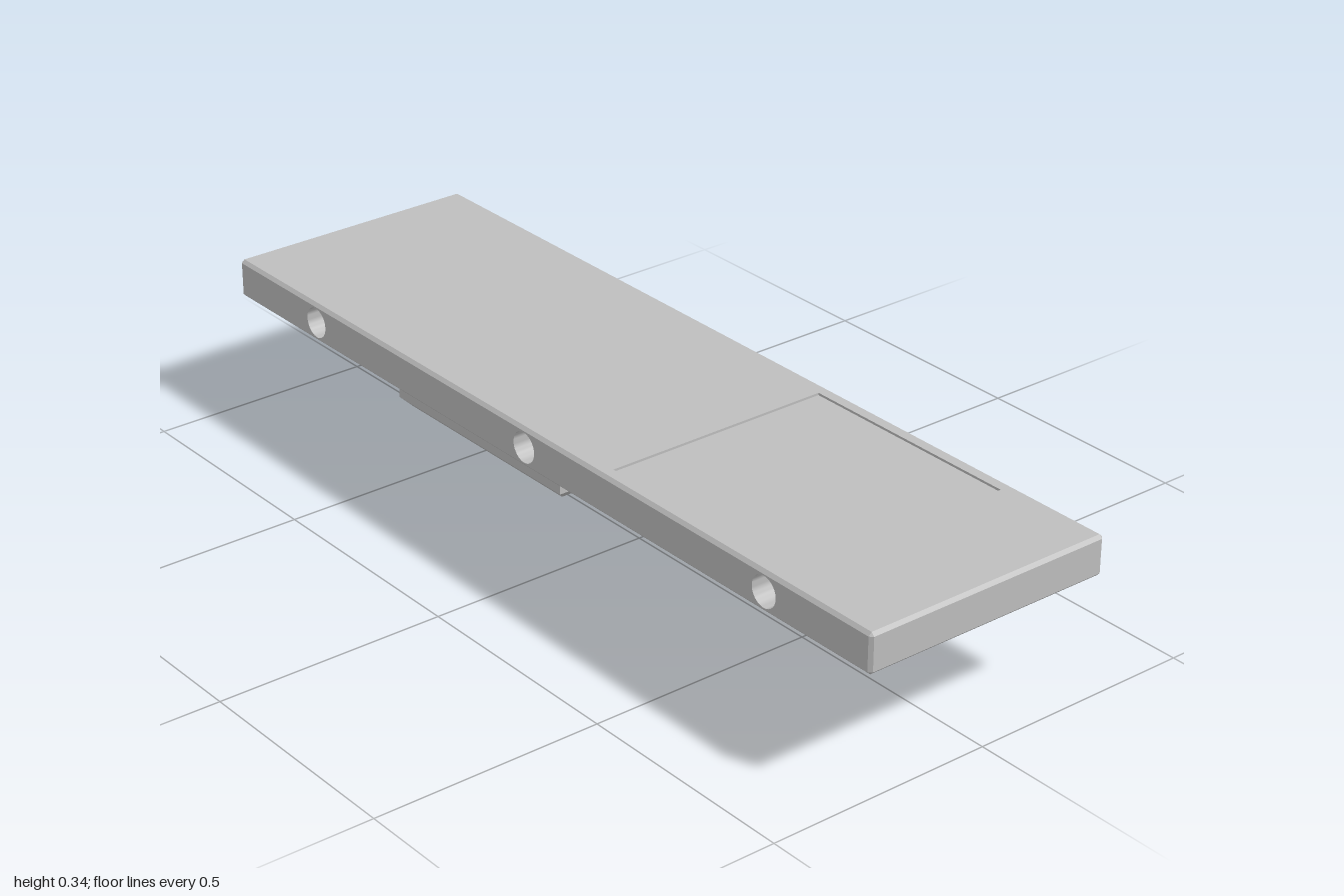
import * as THREE from 'three';
import { toCreasedNormals } from 'three/addons/utils/BufferGeometryUtils.js';

// Board half sizes, bottom, top and chamfer
const X = 1, Z = 0.286, Y0 = 0.257, Y1 = 0.343, C = 0.007;
// Shallow square recess, cut in both large faces
const RX = 0.5, RH = 0.257, RD = 0.005;
// Blind bores in the front edge
const BORES = [-0.714, 0, 0.714], BORE_Y = 0.3, BORE_R = 0.033, BORE_DEPTH = 0.11;

// Rectangle with cut corners at height y, as eight points
function ring(y, hx, hz, cut = 0, cx = 0) {
  const ix = hx - cut, iz = hz - cut;
  return [[hx, iz], [hx, -iz], [ix, -hz], [-ix, -hz], [-hx, -iz], [-hx, iz], [-ix, hz], [ix, hz]]
    .map(([x, z]) => new THREE.Vector3(cx + x, y, z));
}

// Skin between successive rings; rising rings face outward, falling rings inward
function loft(rings, skip = () => false) {
  const points = [];
  const triangle = (a, b, c) => {
    if (new THREE.Triangle(a, b, c).getArea() > 1e-9) points.push(a, b, c);
  };
  for (let r = 0; r < rings.length - 1; r++) {
    for (let i = 0; i < 8; i++) {
      if (skip(r, i)) continue;
      const j = (i + 1) % 8, lo = rings[r], hi = rings[r + 1];
      triangle(lo[i], lo[j], hi[j]);
      triangle(lo[i], hi[j], hi[i]);
    }
  }
  const geometry = new THREE.BufferGeometry().setFromPoints(points);
  geometry.computeVertexNormals();
  return toCreasedNormals(geometry, 0.5);
}

function rectangle(hx, hy, cx = 0, cy = 0, Type = THREE.Shape) {
  return new Type([[-hx, -hy], [hx, -hy], [hx, hy], [-hx, hy]]
    .map(([x, y]) => new THREE.Vector2(cx + x, cy + y)));
}

export function createModel() {
  const grey = new THREE.MeshStandardMaterial({ color: 0xbebebe });
  grey.name = 'plainGrey';
  const model = new THREE.Group();
  model.name = 'boardWithTenon';
  const board = new THREE.Group();
  board.name = 'board';
  const tenon = new THREE.Group();
  tenon.name = 'tenon';
  model.add(board, tenon);

  const add = (parent, name, geometry) => {
    const mesh = new THREE.Mesh(geometry, grey);
    mesh.name = name;
    parent.add(mesh);
    return mesh;
  };

  // Chamfered rim, left open where the drilled front edge goes
  add(board, 'boardRim', loft([
    ring(Y0, X - C, Z - C),
    ring(Y0 + C, X, Z, C),
    ring(Y1 - C, X, Z, C),
    ring(Y1, X - C, Z - C),
  ], (r, i) => r === 1 && i === 6));

  // Drilled front edge
  const edge = rectangle(X - C, (Y1 - Y0) / 2 - C, 0, (Y0 + Y1) / 2);
  for (const x of BORES) {
    edge.holes.push(new THREE.Path().absarc(x, BORE_Y, BORE_R, 0, Math.PI * 2, true));
  }
  add(board, 'frontEdge', new THREE.ShapeGeometry(edge, 20)).position.z = Z;

  // Bore walls and floors
  const boreProfile = [[BORE_R, BORE_DEPTH], [BORE_R, 0], [0, 0]].map(([x, y]) => new THREE.Vector2(x, y));
  const boreShape = toCreasedNormals(new THREE.LatheGeometry(boreProfile, 40).rotateX(Math.PI / 2), 0.5);
  for (const x of BORES) {
    add(board, 'bore', boreShape).position.set(x, BORE_Y, Z - BORE_DEPTH);
  }

  // Large faces with their recesses
  for (const side of [1, -1]) {
    const label = side > 0 ? 'top' : 'bottom';
    const y = side > 0 ? Y1 : Y0;
    const floorY = y - side * RD;
    const turn = -side * Math.PI / 2;

    const face = rectangle(X - C, Z - C);
    face.holes.push(rectangle(RH, RH, RX, 0, THREE.Path));
    add(board, label + 'Face', new THREE.ShapeGeometry(face).rotateX(turn)).position.y = y;

    add(board, label + 'RecessWalls', loft([
      ring(Math.max(y, floorY), RH, RH, 0, RX),
      ring(Math.min(y, floorY), RH, RH, 0, RX),
    ]));
    add(board, label + 'RecessFloor', new THREE.PlaneGeometry(RH * 2, RH * 2).rotateX(turn))
      .position.set(RX, floorY, 0);
  }

  // Tenon: chamfered foot, straight sides, rounded flare into the board
  const TX = -0.5, hx = 0.285, hz = 0.036, foot = 0.021, fillet = 0.026;
  const rings = [ring(0, hx - foot, hz - foot, 0, TX), ring(foot, hx, hz, 0, TX)];
  for (let i = 0; i <= 8; i++) {
    const a = (i / 8) * Math.PI / 2;
    const out = fillet * (1 - Math.cos(a));
    rings.push(ring(Y0 - fillet + fillet * Math.sin(a), hx + out, hz + out, 0, TX));
  }
  add(tenon, 'tenonSides', loft(rings));
  add(tenon, 'tenonFoot', new THREE.PlaneGeometry((hx - foot) * 2, (hz - foot) * 2).rotateX(Math.PI / 2))
    .position.x = TX;

  return model;
}
